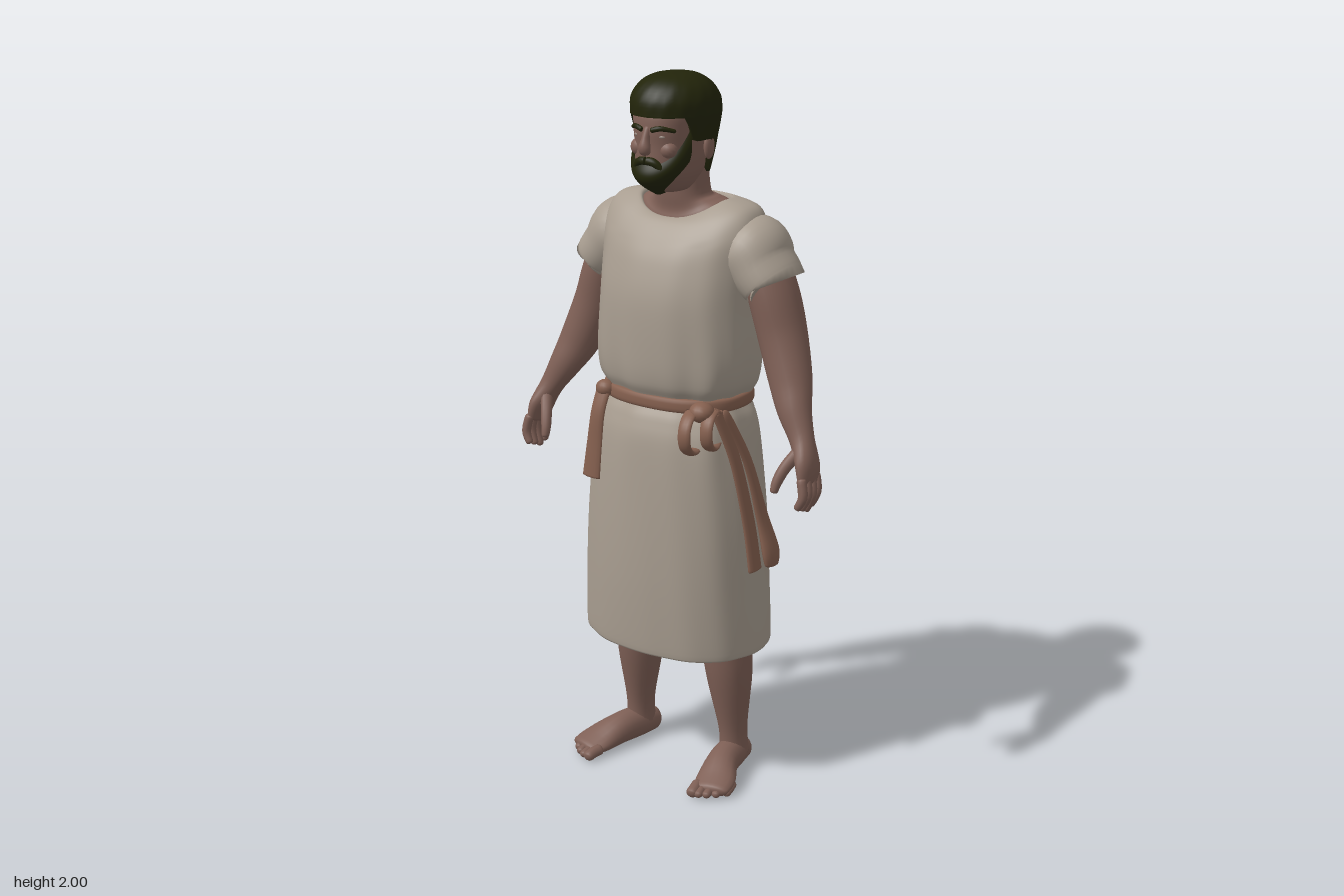
import * as THREE from 'three';

const mat = (name, color, side = THREE.FrontSide) => {
  const m = new THREE.MeshStandardMaterial({ color, side });
  m.name = name;
  return m;
};
const { sin, cos, PI, abs, sign, pow, sqrt, min, max } = Math;
const smooth = THREE.MathUtils.smoothstep;

// Smooth interpolation through rows of numbers, t from 0 to 1
function sample(rows, t) {
  const n = rows.length - 1, f = min(max(t, 0), 1) * n, i = min(Math.floor(f), n - 1), u = f - i;
  const [a, b, c, d] = [rows[max(i - 1, 0)], rows[i], rows[i + 1], rows[min(i + 2, n)]];
  return b.map((p, k) => p + 0.5 * u * (c[k] - a[k] + u * (2 * a[k] - 5 * p + 4 * c[k] - d[k]
    + u * (3 * (p - c[k]) + d[k] - a[k]))));
}

// Surface from fn(u, v) -> [x, y, z]; u may wrap around
function grid(nu, nv, fn, closed = true) {
  const pos = [], idx = [], w = closed ? nu : nu + 1;
  for (let j = 0; j <= nv; j++)
    for (let i = 0; i < w; i++) pos.push(...fn(i / nu, j / nv));
  for (let j = 0; j < nv; j++)
    for (let i = 0; i < nu; i++) {
      const a = j * w + i, b = j * w + (i + 1) % w;
      idx.push(a, a + w, b, b, a + w, b + w);
    }
  const g = new THREE.BufferGeometry();
  g.setAttribute('position', new THREE.Float32BufferAttribute(pos, 3));
  g.setIndex(idx);
  g.computeVertexNormals();
  return g;
}

// Stacked rounded rings: [y, halfWidth, zFront, zBack, sideLift, backLift]
function loft(rows, nu, nv, ripple = () => 0) {
  return grid(nu, nv, (u, v) => {
    const [y, rx, zf, zb, lift = 0, back = 0] = sample(rows, v);
    const th = u * 2 * PI, c = cos(th), s = sin(th), k = 1 + ripple(th, y);
    const cx = sign(c) * pow(abs(c), 0.87), sz = sign(s) * pow(abs(s), 0.87);
    return [rx * cx * k, y + lift * c * c + (s < 0 ? back * s * s : 0), (zf + zb) / 2 + (zf - zb) / 2 * sz * k];
  });
}

// Swept limb: [x, y, z, radius across x, radius the other way], with rounded ends
function limb(pts, cap = 0.08, nu = 14, nv = 28) {
  const X = new THREE.Vector3(1, 0, 0);
  return grid(nu, nv, (u, v) => {
    const t = cap ? (1 - cos(PI * v)) / 2 : v;
    const [x, y, z, a, b] = sample(pts, t);
    const p = sample(pts, t + 0.01), q = sample(pts, t - 0.01);
    const dir = new THREE.Vector3(p[0] - q[0], p[1] - q[1], p[2] - q[2]).normalize();
    const s = X.clone().addScaledVector(dir, -dir.x).normalize();
    const o = s.clone().cross(dir);
    const e = cap ? min(1, min(t, 1 - t) / cap) : 1, k = sqrt(max(0, 1 - (1 - e) ** 2));
    const c = a * k * cos(u * 2 * PI), d = b * k * sin(u * 2 * PI);
    return [x + s.x * c + o.x * d, y + s.y * c + o.y * d, z + s.z * c + o.z * d];
  });
}

export function createModel() {
  const root = new THREE.Group();
  root.name = 'robedMan';
  const skin = mat('skin', 0x7f6056);
  const cloth = mat('linen', 0xa89d90, THREE.DoubleSide);
  const sash = mat('sash', 0x85604f, THREE.DoubleSide);
  const hairMat = mat('hair', 0x22240a, THREE.DoubleSide);
  const eyeMat = mat('eye', 0x9a8c82);
  const add = (name, geo, m, parent = root) => {
    const mesh = new THREE.Mesh(geo, m);
    mesh.name = name;
    parent.add(mesh);
    return mesh;
  };
  const ball = (name, m, p, r, parent) => {
    const b = add(name, new THREE.SphereGeometry(1, 16, 12), m, parent);
    b.position.set(...p);
    b.scale.set(...r);
  };

  // Tunic, gathered at the waist with soft folds
  const folds = (th, y) => {
    const waist = Math.exp(-(((y - 1.13) / 0.14) ** 2));
    const a = y > 1.56 ? 0.004 : 0.009 + 0.02 * waist;
    return a * (0.6 * sin(7 * th + 1 + 2 * y) + 0.5 * sin(13 * th + 2 - 3 * y));
  };
  add('tunic', loft([
    [0.43, 0.262, 0.19, -0.195, 0, 0], [0.415, 0.275, 0.2, -0.205, 0, 0], [0.6, 0.268, 0.206, -0.206, 0, 0],
    [0.8, 0.258, 0.2, -0.2, 0, 0], [1.0, 0.238, 0.185, -0.185, 0, 0], [1.08, 0.222, 0.165, -0.17, 0, 0],
    [1.13, 0.203, 0.143, -0.15, 0, 0], [1.18, 0.227, 0.163, -0.173, 0, 0], [1.26, 0.235, 0.17, -0.188, 0, 0],
    [1.4, 0.23, 0.165, -0.2, 0, 0], [1.5, 0.235, 0.14, -0.195, 0, 0], [1.56, 0.24, 0.11, -0.18, 0.03, 0.01],
    [1.605, 0.215, 0.075, -0.16, 0.045, 0.02], [1.618, 0.14, 0.05, -0.125, 0.05, 0.045],
    [1.6, 0.125, 0.04, -0.115, 0.05, 0.045]], 96, 90, folds), cloth);

  // Neck and head
  add('neck', loft([[1.54, 0.15, 0.03, -0.13, 0, 0], [1.6, 0.135, 0.045, -0.12, 0.045, 0.04],
    [1.635, 0.1, 0.04, -0.105, 0.03, 0.03], [1.68, 0.075, 0.045, -0.09, 0, 0],
    [1.77, 0.07, 0.05, -0.08, 0, 0]], 32, 20), skin);
  const head = new THREE.Group();
  head.name = 'head';
  root.add(head);
  add('face', loft([[1.69, 0.005, 0.06, 0.05], [1.695, 0.05, 0.1, -0.04], [1.73, 0.072, 0.128, -0.065],
    [1.77, 0.081, 0.139, -0.085], [1.82, 0.085, 0.139, -0.095], [1.86, 0.088, 0.141, -0.095],
    [1.91, 0.09, 0.133, -0.095], [1.96, 0.06, 0.09, -0.06], [1.97, 0.001, 0.01, 0]], 40, 36), skin, head);
  add('nose', limb([[0, 1.872, 0.13, 0.01, 0.012], [0, 1.84, 0.143, 0.011, 0.014],
    [0, 1.815, 0.15, 0.017, 0.015], [0, 1.8, 0.142, 0.014, 0.01]], 0.15), skin, head);

  // Hair cap with a lower edge that dips behind the ears
  const dome = [[2.0, 0.001, 0.01, 0.008], [1.993, 0.055, 0.075, -0.05], [1.97, 0.093, 0.118, -0.09],
    [1.935, 0.112, 0.142, -0.118], [1.9, 0.114, 0.145, -0.126]];
  add('hair', grid(56, 30, (u, v) => {
    const th = -u * 2 * PI, c = cos(th), s = sin(th);
    const edge = 1.735 + 0.095 * smooth(s, -0.4, -0.1) + 0.065 * smooth(s, 0.4, 0.62);
    const [y0, rx, zf, zb] = sample(dome, min(1, v / 0.55));
    const w = min(1, max(0, (v - 0.55) / 0.4)), y = y0 + (edge - 1.9) * w;
    const k = (1 - 0.26 * ((1.9 - min(y, 1.9)) / 0.165) ** 1.3) * (v > 0.98 ? 0.8 : 1) * (1 + 0.006 * sin(17 * th + 60 * y));
    return [rx * c * k, y, (zf + zb) / 2 + (zf - zb) / 2 * s * k];
  }), hairMat, head);

  // Beard wrapping the jaw up to the sideburns
  add('beard', grid(40, 18, (u, v) => {
    const th = PI * (0.89 - 0.78 * u), c = cos(th), s = sin(th), side = max(0, (1 - s) / 0.66);
    const w = min(1, v / 0.9), top = 1.772 + 0.09 * pow(side, 1.5), low = 1.685 + 0.055 * side;
    const puff = sin(PI * min(1, 0.1 + w)), tuck = v > 0.95 ? 0.3 : 1 - 0.38 * pow(w, 4);
    return [c * (0.087 + 0.012 * puff) * tuck, top + (low - top) * w, 0.02 + s * (0.12 + 0.018 * puff) * tuck];
  }, false), hairMat, head);

  for (const s of [1, -1]) {
    const side = s > 0 ? 'left' : 'right';
    const mir = pts => pts.map(([x, ...r]) => [x * s, ...r]);

    // Facial features
    add(side + 'Moustache', limb(mir([[0, 1.782, 0.143, 0.011, 0.011], [0.025, 1.777, 0.139, 0.011, 0.011],
      [0.05, 1.75, 0.125, 0.008, 0.008]]), 0.12), hairMat, head);
    add(side + 'Eyebrow', limb(mir([[0.013, 1.862, 0.141, 0.007, 0.007], [0.04, 1.868, 0.132, 0.007, 0.007],
      [0.07, 1.86, 0.106, 0.005, 0.005]]), 0.12), hairMat, head);
    ball(side + 'Eye', eyeMat, [0.036 * s, 1.846, 0.126], [0.013, 0.005, 0.008], head);
    ball(side + 'Cheek', skin, [0.045 * s, 1.81, 0.108], [0.027, 0.024, 0.024], head);
    ball(side + 'Ear', skin, [0.094 * s, 1.808, -0.008], [0.011, 0.034, 0.02], head);

    // Sleeve
    add(side + 'Sleeve', limb(mir([[0.14, 1.55, -0.05, 0.07, 0.09], [0.205, 1.53, -0.05, 0.108, 0.112],
      [0.25, 1.49, -0.045, 0.088, 0.106], [0.282, 1.46, -0.045, 0.078, 0.1],
      [0.276, 1.464, -0.045, 0.066, 0.088]]), 0, 28, 24), cloth);

    // Arm and hand
    add(side + 'Arm', limb(mir([[0.22, 1.54, -0.06, 0.06, 0.08], [0.275, 1.43, -0.05, 0.066, 0.078],
      [0.312, 1.32, -0.043, 0.066, 0.07], [0.355, 1.21, -0.018, 0.06, 0.057], [0.387, 1.14, 0.01, 0.048, 0.044],
      [0.425, 1.07, 0.03, 0.034, 0.034], [0.453, 1.01, 0.045, 0.026, 0.048],
      [0.462, 0.96, 0.055, 0.016, 0.044]]), 0.03, 20, 48), skin);
    for (let i = 0; i < 4; i++) {
      const z = 0.02 + 0.023 * i, tip = 0.882 + 0.009 * abs(i - 1);
      add(side + 'Finger', limb(mir([[0.462, 0.985, z, 0.013, 0.013], [0.472, 0.935, z + 0.006, 0.013, 0.013],
        [0.455, tip, z + 0.01, 0.01, 0.01]]), 0.1, 10, 14), skin);
    }
    add(side + 'Thumb', limb(mir([[0.435, 1.05, 0.045, 0.018, 0.02], [0.408, 1.005, 0.08, 0.016, 0.016],
      [0.394, 0.965, 0.1, 0.014, 0.014], [0.39, 0.935, 0.11, 0.01, 0.01]]), 0.08, 12, 18), skin);

    // Leg, foot and toes
    add(side + 'Leg', limb(mir([[0.15, 0.75, -0.01, 0.085, 0.09], [0.152, 0.44, -0.02, 0.075, 0.072],
      [0.158, 0.3, -0.03, 0.066, 0.069], [0.166, 0.13, -0.04, 0.04, 0.046],
      [0.168, 0.04, -0.045, 0.042, 0.048]]), 0.03, 22, 30), skin);
    add(side + 'Foot', limb(mir([[0.158, 0.036, -0.1, 0.036, 0.034], [0.168, 0.046, -0.04, 0.042, 0.045],
      [0.185, 0.047, 0.04, 0.046, 0.045], [0.213, 0.03, 0.115, 0.058, 0.028],
      [0.226, 0.02, 0.165, 0.05, 0.017]]), 0.08, 18, 28), skin);
    for (let i = 0; i < 5; i++) {
      const x = 0.183 + 0.02 * i, z = 0.192 - 0.0035 * i * i, r = i ? 0.012 : 0.017;
      add(side + 'Toe', limb(mir([[x - 0.008, 0.024, z - 0.05, r, r], [x, 0.021, z - 0.02, r, r],
        [x + 0.003, 0.015, z + 0.008, r, r * 0.85]]), 0.2, 10, 14), skin);
    }
  }

  // Belt band around the waist
  add('belt', loft([[1.108, 0.195, 0.135, -0.14], [1.112, 0.214, 0.156, -0.162], [1.13, 0.217, 0.159, -0.165],
    [1.146, 0.213, 0.155, -0.161], [1.15, 0.195, 0.135, -0.14]], 64, 12), sash);

  // Bow and knot at the left front
  const loop = (x, y, z, ry, rz) => Array.from({ length: 13 }, (_, i) => {
    const a = i / 12 * 2 * PI;
    return [x + 0.012 * sin(a), y + ry * cos(a), z + rz * sin(a), 0.02, 0.009];
  });
  add('bowLoop', limb(loop(0.155, 1.07, 0.15, 0.055, 0.055), 0, 12, 40), sash);
  add('bowLoop', limb(loop(0.195, 1.075, 0.115, 0.05, 0.045), 0, 12, 40), sash);
  ball('knot', sash, [0.175, 1.125, 0.135], [0.035, 0.028, 0.035]);

  // Hanging sash ends
  add('sideStrap', limb([[0.2, 1.12, 0.1, 0.009, 0.02], [0.233, 0.98, 0.06, 0.009, 0.022],
    [0.262, 0.8, 0.035, 0.009, 0.026], [0.282, 0.66, 0.03, 0.01, 0.029]], 0.015, 12, 30), sash);
  add('sideStrap', limb([[0.205, 1.12, 0.08, 0.009, 0.018], [0.24, 0.97, 0.015, 0.01, 0.018],
    [0.266, 0.8, -0.025, 0.011, 0.024], [0.288, 0.7, -0.037, 0.016, 0.035],
    [0.292, 0.655, -0.037, 0.014, 0.026]], 0.06, 12, 30), sash);
  add('frontStrap', limb([[-0.155, 1.14, 0.13, 0.024, 0.01], [-0.16, 1.07, 0.156, 0.023, 0.01],
    [-0.166, 0.98, 0.166, 0.026, 0.009], [-0.172, 0.88, 0.175, 0.03, 0.009]], 0.015, 12, 24), sash);
  ball('frontKnot', sash, [-0.155, 1.132, 0.128], [0.028, 0.024, 0.025]);

  return root;
}
